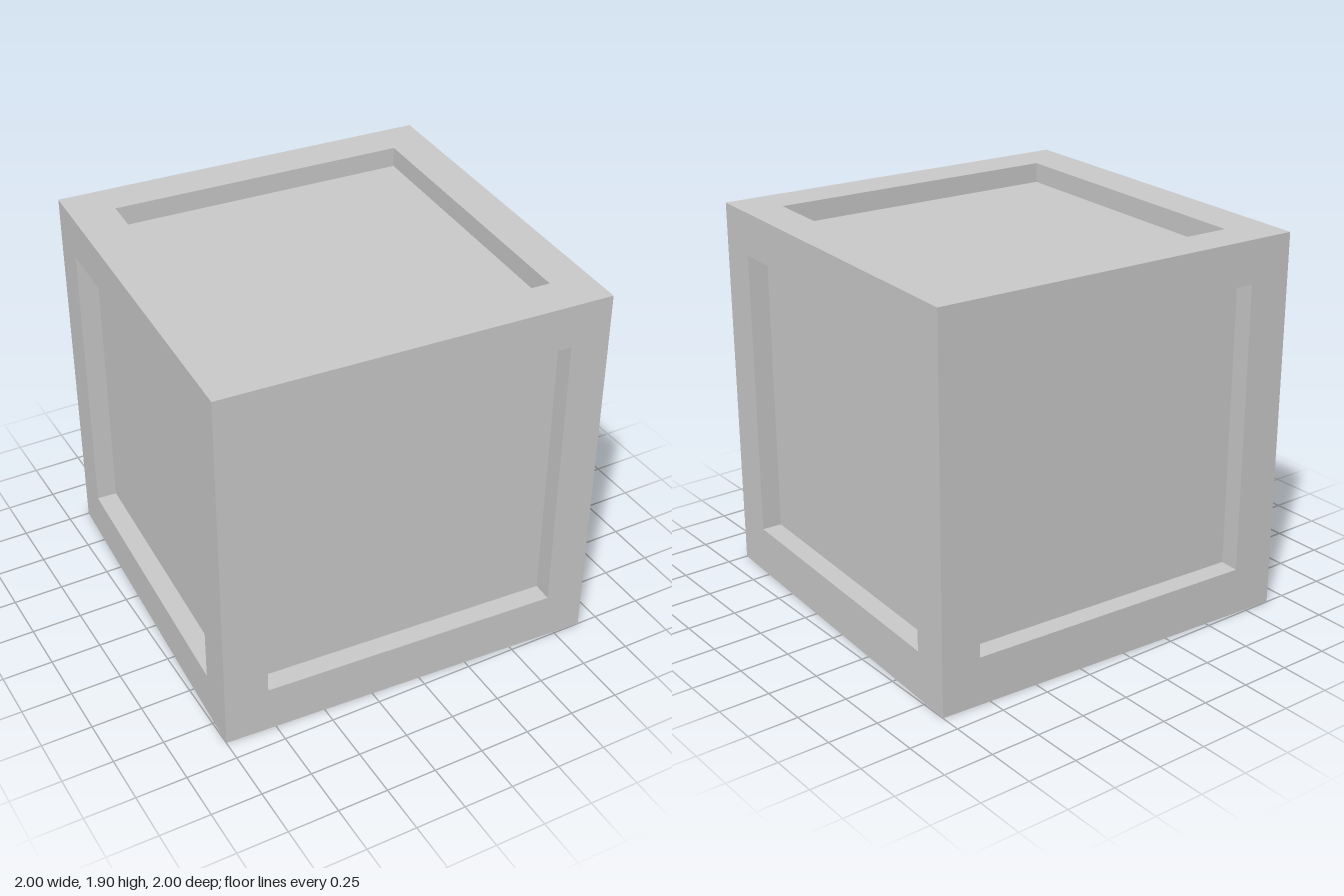
import * as THREE from 'three';

const SIZE = 1.896; // cube edge
const DEPTH = 0.1; // recess depth
const OPENING = 1.485; // recess width
const SIDE_HEIGHT = 1.444; // recess height on the four walls
const SHIFT = new THREE.Vector3(0.01, 0.014, -0.005); // recesses sit slightly off centre

// Corners of a rectangle, counter-clockwise seen from +z
function loop(w, h, z, cx = 0, cy = 0) {
  return [[-1, -1], [1, -1], [1, 1], [-1, 1]].map(([x, y]) => [cx + x * w / 2, cy + y * h / 2, z]);
}

// One cube face facing +z: border, recess walls and sunken panel
function faceGeometry(height, cx, cy) {
  const outer = loop(SIZE, SIZE, SIZE / 2);
  const rim = loop(OPENING, height, SIZE / 2, cx, cy);
  const floor = loop(OPENING, height, SIZE / 2 - DEPTH, cx, cy);
  const points = [];
  const quad = (a, b, c, d) => points.push(...a, ...b, ...c, ...a, ...c, ...d);
  for (const [from, to] of [[outer, rim], [rim, floor]]) {
    for (let i = 0; i < 4; i++) {
      const j = (i + 1) % 4;
      quad(from[i], from[j], to[j], to[i]);
    }
  }
  quad(...floor);
  const geometry = new THREE.BufferGeometry();
  geometry.setAttribute('position', new THREE.Float32BufferAttribute(points, 3));
  geometry.computeVertexNormals();
  return geometry;
}

export function createModel() {
  const model = new THREE.Group();
  model.name = 'crate';
  const material = new THREE.MeshStandardMaterial({ color: 0xcccccc, flatShading: true });
  const q = Math.PI / 2;

  // Six recessed faces, each turned into place
  const faces = [
    ['frontFace', 0, 0], ['leftFace', 0, q], ['backFace', 0, 2 * q], ['rightFace', 0, -q],
    ['topFace', -q, 0], ['bottomFace', q, 0],
  ];
  for (const [name, rx, ry] of faces) {
    const turn = new THREE.Euler(rx, ry, 0);
    const offset = SHIFT.clone().applyQuaternion(new THREE.Quaternion().setFromEuler(turn).invert());
    const mesh = new THREE.Mesh(faceGeometry(rx ? OPENING : SIDE_HEIGHT, offset.x, offset.y), material);
    mesh.name = name;
    mesh.rotation.copy(turn);
    model.add(mesh);
  }

  // The crate stands on the ground, turned slightly
  model.position.y = SIZE / 2;
  model.rotation.y = -0.0565;
  return model;
}
